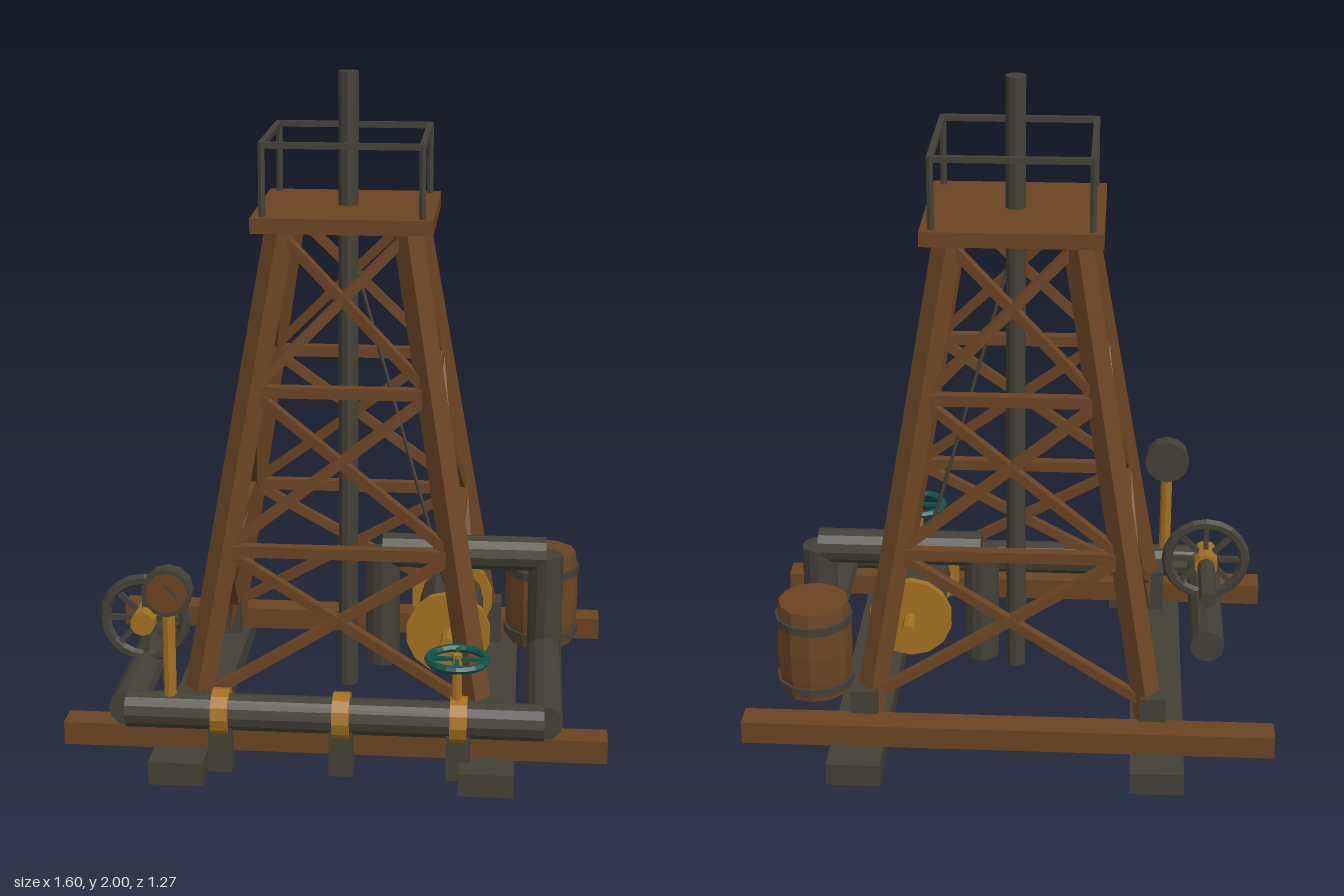
import * as THREE from 'three';

const mat = (name, color) => {
  const m = new THREE.MeshStandardMaterial({ color, flatShading: true });
  m.name = name;
  return m;
};
const V = (x, y, z) => new THREE.Vector3(x, y, z);

export function createModel() {
  const root = new THREE.Group();
  root.name = 'drillingDerrick';
  const wood = mat('wood', 0x6b4423);
  const iron = mat('darkIron', 0x434036);
  const brass = mat('brass', 0xa3701f);
  const teal = mat('tealPaint', 0x0f534b);

  const add = (name, geo, material, x = 0, y = 0, z = 0, parent = root) => {
    const m = new THREE.Mesh(geo, material);
    m.name = name;
    m.position.set(x, y, z);
    parent.add(m);
    return m;
  };
  const box = (name, material, w, h, d, x, y, z) =>
    add(name, new THREE.BoxGeometry(w, h, d), material, x, y, z);
  // Square timber between two points
  const beam = (name, a, b, w, material = wood) => {
    const m = add(name, new THREE.BoxGeometry(w, w, a.distanceTo(b)), material);
    m.position.copy(a).lerp(b, 0.5);
    m.lookAt(b);
    return m;
  };
  // Round bar between two points
  const rod = (name, a, b, r, material = iron, sides = 10) => {
    const m = add(name, new THREE.CylinderGeometry(r, r, a.distanceTo(b), sides), material);
    m.position.copy(a).lerp(b, 0.5);
    m.quaternion.setFromUnitVectors(V(0, 1, 0), b.clone().sub(a).normalize());
    return m;
  };

  // Base skids and sills
  for (const s of [-1, 1]) {
    box('skid', iron, 0.16, 0.07, 1.27, s * 0.45, 0.035, 0);
    box('sill', wood, 1.6, 0.07, 0.085, 0, 0.1, s * 0.48);
  }

  // Tower legs with iron shoes
  const legAt = (sx, sz, y) => {
    const t = (y - 0.1) / 1.47;
    return V(sx * (0.43 - 0.245 * t), y, sz * (0.41 - 0.24 * t));
  };
  const corners = [[1, 1], [1, -1], [-1, -1], [-1, 1]];
  for (const [sx, sz] of corners) {
    beam('leg', legAt(sx, sz, 0.08), legAt(sx, sz, 1.57), 0.062);
    box('legShoe', iron, 0.08, 0.14, 0.08, sx * 0.435, 0.14, sz * 0.41);
  }

  // Girts and cross braces on each side
  const levels = [0.17, 0.62, 1.09, 1.55];
  corners.forEach((c, i) => {
    const d = corners[(i + 1) % 4];
    for (let k = 0; k < 3; k++) {
      const lo = levels[k], hi = levels[k + 1];
      beam('crossBrace', legAt(...c, lo), legAt(...d, hi), 0.029);
      beam('crossBrace', legAt(...d, lo), legAt(...c, hi), 0.029);
      if (k > 0) beam('girt', legAt(...c, lo), legAt(...d, lo), 0.034);
    }
  });

  // Crown platform and guard rail
  box('platform', wood, 0.53, 0.045, 0.5, 0, 1.582, 0);
  corners.forEach(([sx, sz], i) => {
    const [tx, tz] = corners[(i + 1) % 4];
    rod('railPost', V(sx * 0.232, 1.6, sz * 0.22), V(sx * 0.232, 1.82, sz * 0.22), 0.011, iron, 6);
    beam('guardRail', V(sx * 0.232, 1.812, sz * 0.22), V(tx * 0.232, 1.812, tz * 0.22), 0.018, iron);
  });

  // Drill string and hoisting line
  rod('drillPipe', V(0, 0.07, 0), V(0, 2, 0), 0.031);
  rod('hoistCable', V(0, 1.5, 0), V(0.3, 0.42, 0), 0.006, iron, 5);

  // Winch drum
  rod('winchDrum', V(0.32, 0.31, -0.14), V(0.32, 0.31, 0.14), 0.1, iron, 12);
  for (const s of [-1, 1])
    rod('drumFlange', V(0.32, 0.31, s * 0.142), V(0.32, 0.31, s * 0.167), 0.13, brass, 14);
  rod('drumAxle', V(0.32, 0.31, -0.25), V(0.32, 0.31, 0.25), 0.02, brass, 8);

  // Pipework
  const py = 0.185;
  const pipes = [
    [V(-0.61, py, 0.515), V(0.615, py, 0.515)],
    [V(-0.61, py, 0.52), V(-0.61, py, -0.075)],
    [V(0.615, py, 0.52), V(0.615, py, -0.07)],
    [V(0.615, py, -0.05), V(0.615, 0.5, -0.05)],
    [V(0.615, 0.5, -0.05), V(0.105, 0.5, -0.05)],
    [V(0.105, 0.5, -0.05), V(0.105, 0.13, -0.05)],
  ];
  for (const [a, b] of pipes) rod('pipe', a, b, 0.054, iron, 12);

  // Pipe collars and supports
  for (const x of [-0.33, 0.025, 0.367]) {
    rod('pipeCollar', V(x - 0.025, py, 0.515), V(x + 0.025, py, 0.515), 0.07, brass, 12);
    box('pipeSupport', iron, 0.07, 0.14, 0.075, x, 0.08, 0.52);
  }

  // Valve with horizontal handwheel
  rod('valveStem', V(0.36, 0.2, 0.515), V(0.36, 0.39, 0.515), 0.015, brass, 8);
  const handwheel = add('handwheel', new THREE.TorusGeometry(0.084, 0.012, 6, 20), teal, 0.36, 0.375, 0.515);
  handwheel.rotation.x = Math.PI / 2;
  for (let i = 0; i < 2; i++) {
    const spoke = box('handwheelSpoke', teal, 0.165, 0.01, 0.012, 0.36, 0.375, 0.515);
    spoke.rotation.y = i * Math.PI / 2;
  }

  // Spoked wheel with hub and shaft
  const wx = -0.607, wy = 0.35, wz = 0.212;
  add('wheelRim', new THREE.TorusGeometry(0.125, 0.018, 6, 20), iron, wx, wy, wz);
  for (let i = 0; i < 4; i++) {
    const spoke = box('wheelSpoke', iron, 0.25, 0.016, 0.016, wx, wy, wz);
    spoke.rotation.z = i * Math.PI / 4;
  }
  rod('wheelHub', V(wx, wy, 0.157), V(wx, wy, 0.268), 0.038, brass);
  rod('wheelShaft', V(wx, wy, -0.075), V(wx, wy, 0.16), 0.028, iron, 8);

  // Pressure gauge
  const gx = -0.48, gy = 0.56;
  rod('gaugeStem', V(gx, 0.22, 0.517), V(gx, 0.52, 0.517), 0.019, brass, 8);
  rod('gaugeBody', V(gx, gy, 0.495), V(gx, gy, 0.546), 0.073, iron, 12);
  rod('gaugeFace', V(gx, gy, 0.544), V(gx, gy, 0.55), 0.06, wood, 12);
  const needle = box('gaugeNeedle', iron, 0.05, 0.006, 0.004, gx + 0.012, gy + 0.01, 0.551);
  needle.rotation.z = -Math.PI / 4;

  // Barrel with hoops
  const stave = [[0, 0.13], [0.105, 0.13], [0.115, 0.2], [0.117, 0.28], [0.115, 0.36], [0.107, 0.43], [0, 0.43]];
  add('barrel', new THREE.LatheGeometry(stave.map(([r, y]) => new THREE.Vector2(r, y)), 12), wood, 0.605, 0, -0.28);
  for (const y of [0.165, 0.375])
    rod('barrelHoop', V(0.605, y - 0.013, -0.28), V(0.605, y + 0.013, -0.28), 0.12, iron, 12);

  return root;
}
